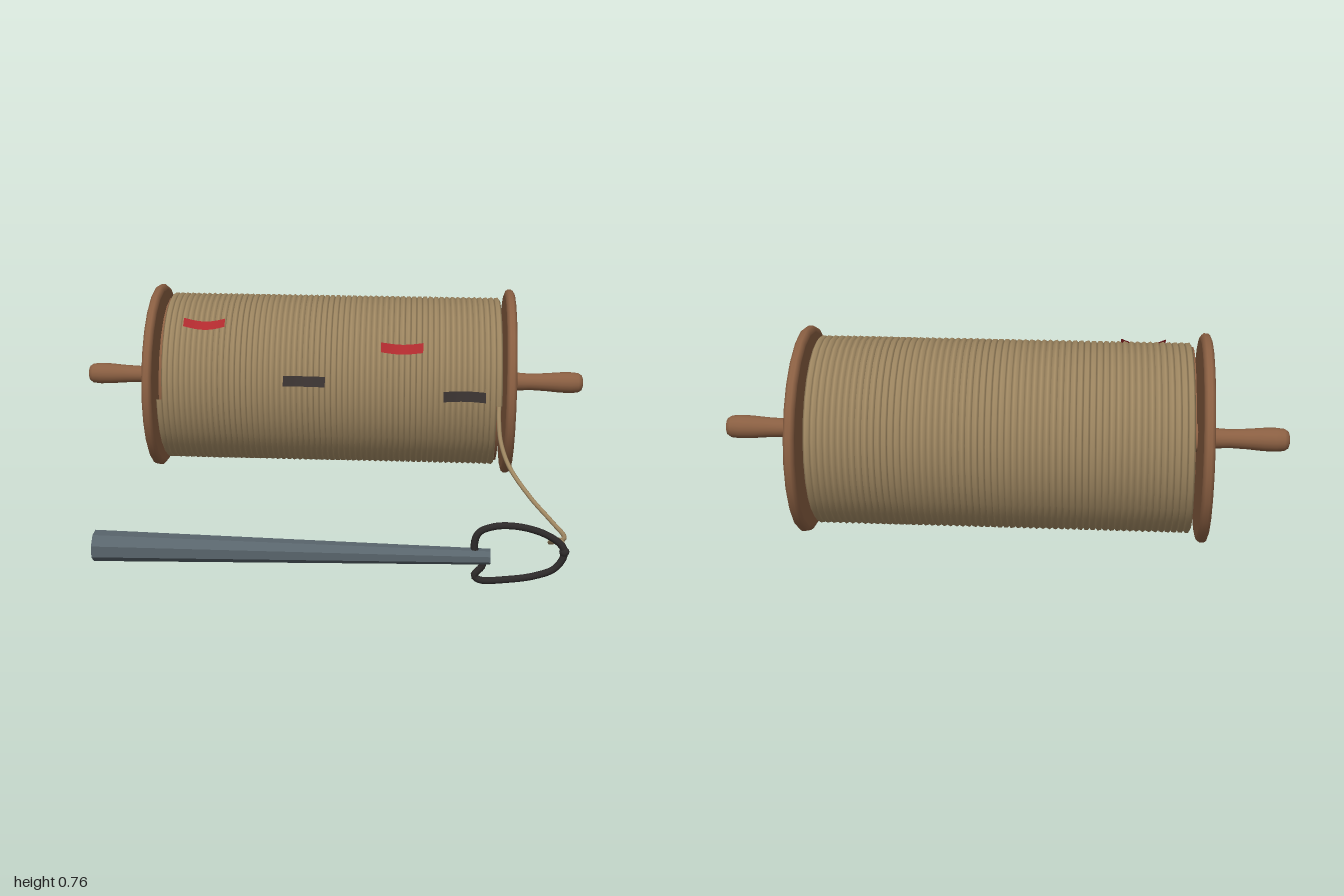
import * as THREE from 'three';

const material = (name, color, extra = {}) => {
  const m = new THREE.MeshStandardMaterial({ color, ...extra });
  m.name = name;
  return m;
};

// Reel axis position
const AY = 0.39, AZ = -0.38;

// Rope wound around the barrel, leaving at the front of the left end
class WindingCurve extends THREE.Curve {
  constructor(turns, radius, halfLength) {
    super();
    Object.assign(this, { turns, radius, halfLength });
  }
  getPoint(t, target = new THREE.Vector3()) {
    const a = -Math.PI * 2 * this.turns * t;
    return target.set((2 * t - 1) * this.halfLength, this.radius * Math.sin(a), this.radius * Math.cos(a));
  }
  getPointAt(t, target) { return this.getPoint(t, target); }
}

export function createModel() {
  const wood = material('wood', 0x8a5f42);
  const rope = material('rope', 0xa08862);
  const iron = material('grey iron', 0x58646b, { flatShading: true });
  const black = material('black iron', 0x2d2a2a);
  const red = material('red cloth', 0xb02a2e, { side: THREE.DoubleSide });
  const leather = material('dark leather', 0x3b3432, { side: THREE.DoubleSide });

  const model = new THREE.Group();
  const add = (parent, name, geometry, mat) => {
    const mesh = new THREE.Mesh(geometry, mat);
    mesh.name = name;
    parent.add(mesh);
    return mesh;
  };
  const vec = (p) => new THREE.Vector3(...p);
  const lathe = (points, segments) =>
    new THREE.LatheGeometry(points.map(([r, h]) => new THREE.Vector2(r, h)), segments).rotateZ(-Math.PI / 2);

  const reel = new THREE.Group();
  reel.name = 'reel';
  reel.position.set(0, AY, AZ);
  model.add(reel);

  // Barrel, axle and rope winding
  add(reel, 'barrel', new THREE.CylinderGeometry(0.318, 0.318, 1.31, 24).rotateZ(Math.PI / 2), wood);
  add(reel, 'axle', new THREE.CylinderGeometry(0.05, 0.05, 1.38, 16).rotateZ(Math.PI / 2), wood);
  const turns = 60;
  add(reel, 'ropeWinding',
    new THREE.TubeGeometry(new WindingCurve(turns, 0.322, 0.652), turns * 28, 0.013, 6), rope);

  // End discs, handles and nails, mirrored by a half turn
  const discProfile = [[0, -0.019], [0.345, -0.019], [0.35, -0.019], [0.361, -0.015], [0.367, -0.007],
    [0.367, 0.007], [0.361, 0.015], [0.35, 0.019], [0.345, 0.019], [0, 0.019]];
  const handleProfile = [[0.038, 0.7], [0.036, 0.74], [0.033, 0.79], [0.036, 0.85], [0.041, 0.91],
    [0.042, 0.95], [0.039, 0.98], [0.03, 0.994], [0.015, 0.999], [0, 1]];
  for (const [label, turn] of [['left', 0], ['right', Math.PI]]) {
    const end = new THREE.Group();
    end.name = label + 'End';
    end.rotation.y = turn;
    reel.add(end);
    add(end, 'disc', lathe(discProfile, 24), wood).position.x = 0.697;
    add(end, 'handle', lathe(handleProfile, 16), wood);
    for (let i = 0; i < 6; i++) {
      const a = (i * Math.PI) / 3;
      const nail = add(end, 'nail', new THREE.SphereGeometry(0.006, 8, 6), black);
      nail.position.set(0.716, 0.115 * Math.sin(a), 0.115 * Math.cos(a));
    }
  }

  // Loose rope running to the ring
  const tail = new THREE.CatmullRomCurve3([
    [0.652, 0.39, -0.058], [0.652, 0.34, -0.025], [0.66, 0.27, 0.015], [0.69, 0.195, 0.065],
    [0.765, 0.12, 0.19], [0.835, 0.08, 0.32], [0.872, 0.065, 0.43], [0.815, 0.085, 0.52],
    [0.818, 0.125, 0.6], [0.838, 0.15, 0.66], [0.846, 0.125, 0.69],
  ].map(vec));
  add(model, 'looseRope', new THREE.TubeGeometry(tail, 80, 0.0085, 8), rope);

  // Tapered eight-sided spike lying in front
  const spike = add(model, 'spike',
    new THREE.CylinderGeometry(0.03, 0.06, 1.35, 8).rotateY(Math.PI / 8).rotateZ(-Math.PI / 2), iron);
  spike.scale.y = 0.87;
  spike.position.set(-0.075, 0.1, 0.69);

  // Bent ring through the spike's tip, with a small knot
  const ring = new THREE.CatmullRomCurve3([
    [0.546, 0.13], [0.558, 0.185], [0.61, 0.21], [0.69, 0.212], [0.78, 0.187], [0.838, 0.145],
    [0.845, 0.11], [0.815, 0.062], [0.75, 0.034], [0.66, 0.018], [0.565, 0.014], [0.548, 0.03], [0.575, 0.07],
  ].map(([x, y]) => new THREE.Vector3(x, y, 0.69)), true);
  add(model, 'ring', new THREE.TubeGeometry(ring, 90, 0.0125, 8, true), black);
  add(model, 'ringKnot', new THREE.SphereGeometry(0.017, 12, 8), black).position.set(0.846, 0.125, 0.69);

  // Cloth and leather markers, tucked under the rope with lifted ends
  const marker = (name, x, y, mat) => {
    const geometry = new THREE.PlaneGeometry(0.16, 0.04, 12, 1);
    const pos = geometry.attributes.position;
    for (let i = 0; i < pos.count; i++) {
      const u = Math.abs(pos.getX(i)) / 0.08;
      pos.setZ(i, 0.338 + 0.022 * u * u * (1.4 - 0.4 * u));
    }
    geometry.computeVertexNormals();
    const mesh = add(reel, name, geometry, mat);
    mesh.position.x = x;
    mesh.rotation.x = -Math.asin((y - AY) / 0.345);
  };
  marker('redMarker', -0.485, 0.66, red);
  marker('redMarker', 0.28, 0.595, red);
  marker('darkMarker', -0.09, 0.475, leather);
  marker('darkMarker', 0.52, 0.43, leather);

  return model;
}
